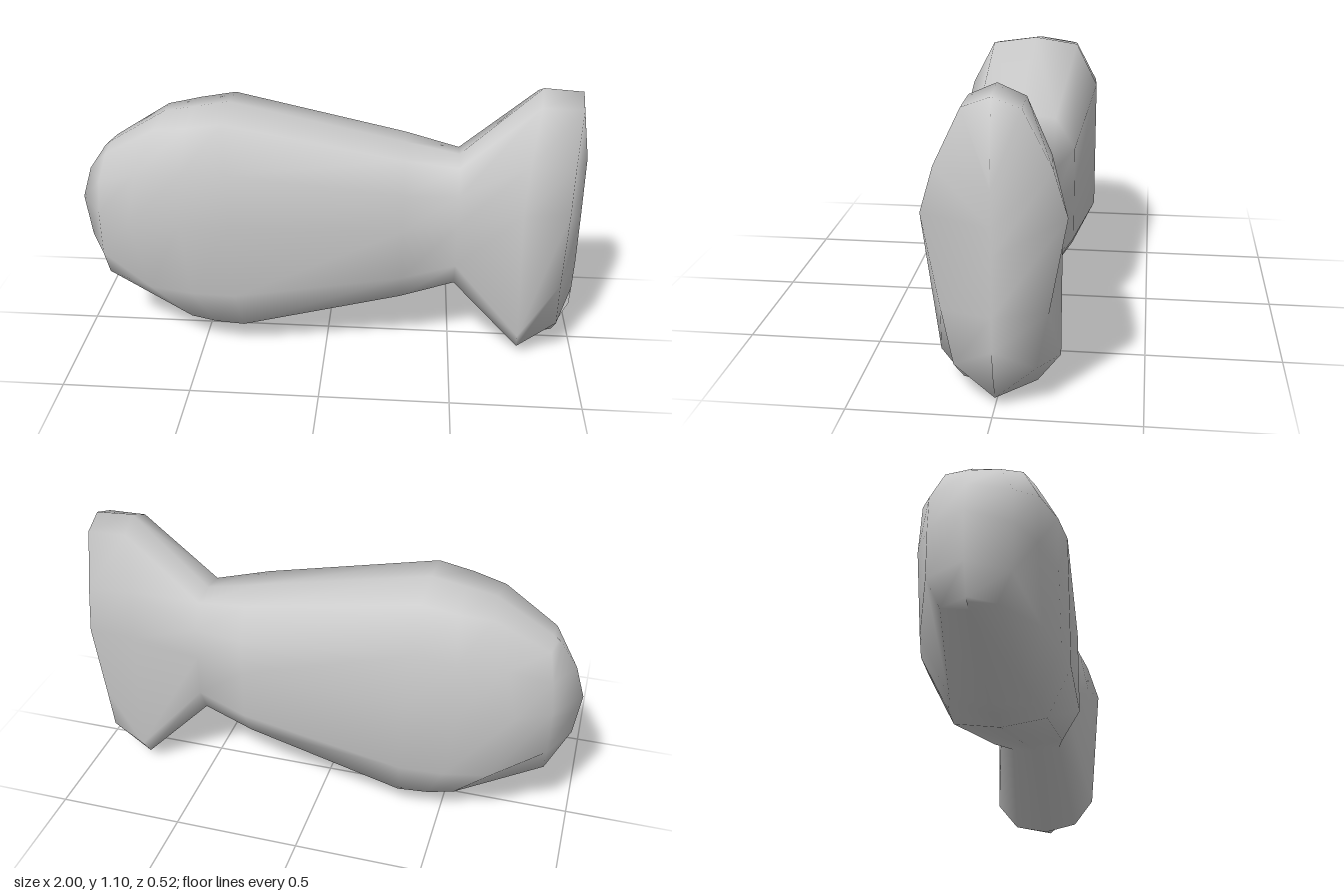
import * as THREE from 'three';
import { mergeVertices } from 'three/addons/utils/BufferGeometryUtils.js';

// Half outlines of a cross-section as [width, height] fractions, top to bottom
const BODY = [[0, 1], [0.67, 0.945], [1, 0.58], [1, 0.1], [1, -0.55], [0.65, -0.95], [0, -1]];
const FIN = [[0, 1], [0.45, 0.92], [0.83, 0.55], [1, 0.2], [1, -0.77], [0.62, -0.95], [0, -1]];
const RIM = [[0, 1], [0.4, 0.93], [0.8, 0.55], [1, 0.24], [0.75, -0.4], [0.58, -0.78], [0, -1]];

// Cross-sections from nose to tail: top x, y; bottom x, y; side x, half width; outline
const SECTIONS = [
  [-0.88, 0.82, -0.92, 0.29, -1, 0, BODY],
  [-0.86, 0.833, -0.89, 0.275, -0.9, 0.145, BODY],
  [-0.64, 0.965, -0.53, 0.095, -0.77, 0.21, BODY],
  [-0.52, 0.987, -0.44, 0.09, -0.56, 0.25, BODY],
  [-0.39, 1.01, -0.33, 0.085, -0.36, 0.262, BODY],
  [0.3, 0.864, 0.3, 0.239, 0.3, 0.217, BODY],
  [0.51, 0.82, 0.51, 0.29, 0.51, 0.155, BODY],
  [0.81, 1.1, 0.78, 0.005, 0.75, 0.21, FIN],
  [0.96, 1.09, 0.93, 0.04, 0.92, 0.24, RIM],
  [1, 0.82, 0.99, 0.17, 1, 0, RIM],
];
const WAIST = 6;
const COUNT = 12;

// One closed ring of points, bowed along x between its top, side and bottom
function ring([xt, yt, xb, yb, xs, w, outline]) {
  const mirrored = outline.slice(1, -1).reverse().map(([u, v]) => [-u, v]);
  return [...outline, ...mirrored].flatMap(([u, v]) => [
    xs + ((v > 0 ? xt : xb) - xs) * v * v,
    (yt + yb) / 2 + v * (yt - yb) / 2,
    u * w,
  ]);
}

// Faces joining consecutive rings
function skin(from, to) {
  const index = [];
  for (let i = from; i < to; i++) {
    for (let j = 0; j < COUNT; j++) {
      const a = i * COUNT + j, b = i * COUNT + (j + 1) % COUNT;
      index.push(a, b, a + COUNT, b, b + COUNT, a + COUNT);
    }
  }
  return index;
}

export function createModel() {
  const group = new THREE.Group();
  group.name = 'fish';
  const material = new THREE.MeshStandardMaterial({ color: 0xcccccc });

  // Whole skin, so that the shading runs smoothly through the waist
  let whole = new THREE.BufferGeometry();
  whole.setAttribute('position', new THREE.Float32BufferAttribute(SECTIONS.flatMap(ring), 3));
  whole.setIndex(skin(0, SECTIONS.length - 1));
  whole = mergeVertices(whole, 1e-4);
  whole.computeVertexNormals();

  // Split the skin into body and tail at the waist
  const all = Array.from(whole.index.array);
  const cut = WAIST * COUNT * 6;
  const parts = { body: all.slice(0, cut), tailFin: all.slice(cut) };
  for (const [name, index] of Object.entries(parts)) {
    const geometry = whole.clone();
    geometry.setIndex(index);
    const mesh = new THREE.Mesh(geometry, material);
    mesh.name = name;
    group.add(mesh);
  }
  return group;
}
